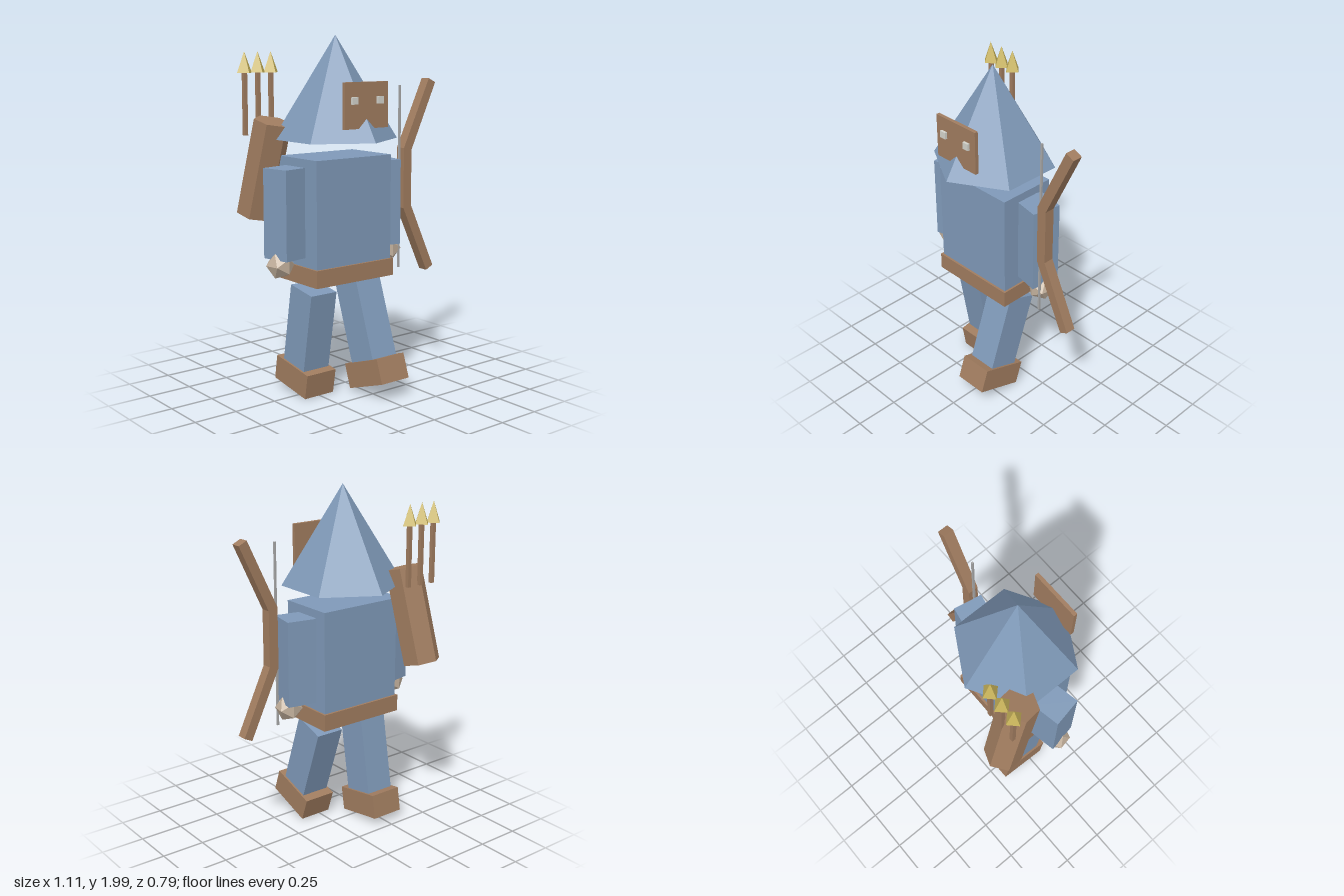
import * as THREE from 'three';

const mat = (name, color) => {
  const m = new THREE.MeshStandardMaterial({ color, flatShading: true });
  m.name = name;
  return m;
};

export function createModel() {
  const cloth = mat('blue cloth', 0x7f99b8);
  const leather = mat('brown leather', 0xa07c5f);
  const skin = mat('pale skin', 0xc2b09c);
  const gold = mat('gold', 0xcbb65c);
  const eyeWhite = mat('eye white', 0xd2d2ca);
  const cord = mat('grey cord', 0xa8a8a8);

  const root = new THREE.Group();
  const add = (name, geo, material, x, y, z, parent = root) => {
    const m = new THREE.Mesh(geo, material);
    m.name = name;
    m.position.set(x, y, z);
    parent.add(m);
    return m;
  };
  const box = (w, h, d) => new THREE.BoxGeometry(w, h, d);
  const group = (name, x, y, z, parent = root) => {
    const g = new THREE.Group();
    g.name = name;
    g.position.set(x, y, z);
    parent.add(g);
    return g;
  };
  const extrude = (points, depth) => new THREE.ExtrudeGeometry(
    new THREE.Shape(points.map(([x, y]) => new THREE.Vector2(x, y))),
    { depth, bevelEnabled: false });

  const cx = -0.107, cz = 0.047; // body axis

  // Torso, belt and pointed hood
  add('torso', box(0.514, 0.6, 0.34), cloth, cx, 1.05, cz);
  add('belt', box(0.536, 0.097, 0.366), leather, cx, 0.717, cz);
  add('hood', new THREE.ConeGeometry(0.344, 0.56, 6), cloth, cx, 1.72, cz);

  // Mask with a notch under the nose, and eyes
  add('mask', extrude([
    [-0.147, -0.122], [-0.045, -0.122], [0, -0.077], [0.045, -0.122],
    [0.147, -0.122], [0.147, 0.122], [-0.147, 0.122]], 0.021), leather, cx, 1.635, 0.294);
  for (const s of [-1, 1]) {
    add(s > 0 ? 'leftEye' : 'rightEye', box(0.039, 0.038, 0.016), eyeWhite,
      cx + s * 0.087, 1.661, 0.322);
  }

  // Arms, turned slightly, with faceted hands
  for (const s of [-1, 1]) {
    const side = s > 0 ? 'left' : 'right';
    const arm = group(side + 'Arm', cx + s * 0.331, 1.06, 0.042);
    arm.rotation.y = -s * 0.19;
    add(side + 'Sleeve', box(0.17, 0.488, 0.168), cloth, 0, 0, 0, arm);
    add(side + 'Hand', new THREE.IcosahedronGeometry(0.078, 0), skin, s * 0.048, -0.277, 0, arm);
  }

  // Striding legs: the left swings forward, the right back
  for (const [side, x, y, z, swing] of [
    ['left', 0.04, 0.6255, 0.0615, -0.335], ['right', -0.252, 0.617, 0.036, 0.168]]) {
    const leg = group(side + 'Leg', x, y, z);
    leg.rotation.x = swing;
    add(side + 'Trouser', box(0.173, 0.46, 0.192), cloth, 0, -0.23, 0, leg);
    add(side + 'Boot', box(0.196, 0.141, 0.295), leather, 0, -0.523, 0, leg);
  }

  // Bow of three straight pieces, mirrored above and below the grip
  const inner = [[0.317, 0.173], [0.503, 0.563]];
  const outer = [[0.553, 0.539], [0.375, 0.16]];
  const upper = [...inner, ...outer];
  const lower = upper.map(([x, y]) => [x, -y]).reverse();
  add('bow', extrude([...upper, ...lower], 0.06), leather, 0, 1.194, 0.078);
  add('bowString', box(0.011, 1.052, 0.011), cord, 0.3095, 1.196, 0.106);

  // Tilted six-sided quiver
  const quiver = add('quiver', new THREE.CylinderGeometry(0.107, 0.107, 0.548, 6), leather,
    -0.395, 1.27, -0.227);
  quiver.quaternion.setFromUnitVectors(
    new THREE.Vector3(0, 1, 0), new THREE.Vector3(0.035, 0.53, 0.134).normalize());
  quiver.rotateY(0.14);

  // Arrows
  for (let i = 0; i < 3; i++) {
    const arrow = group('arrow' + (i + 1), -0.475 + i * 0.0865, 0, -0.286);
    add('shaft', box(0.022, 0.35, 0.022), leather, 0, 1.63, 0, arrow);
    add('arrowhead', new THREE.ConeGeometry(0.048, 0.116, 4), gold, 0, 1.854, 0, arrow);
  }

  return root;
}
